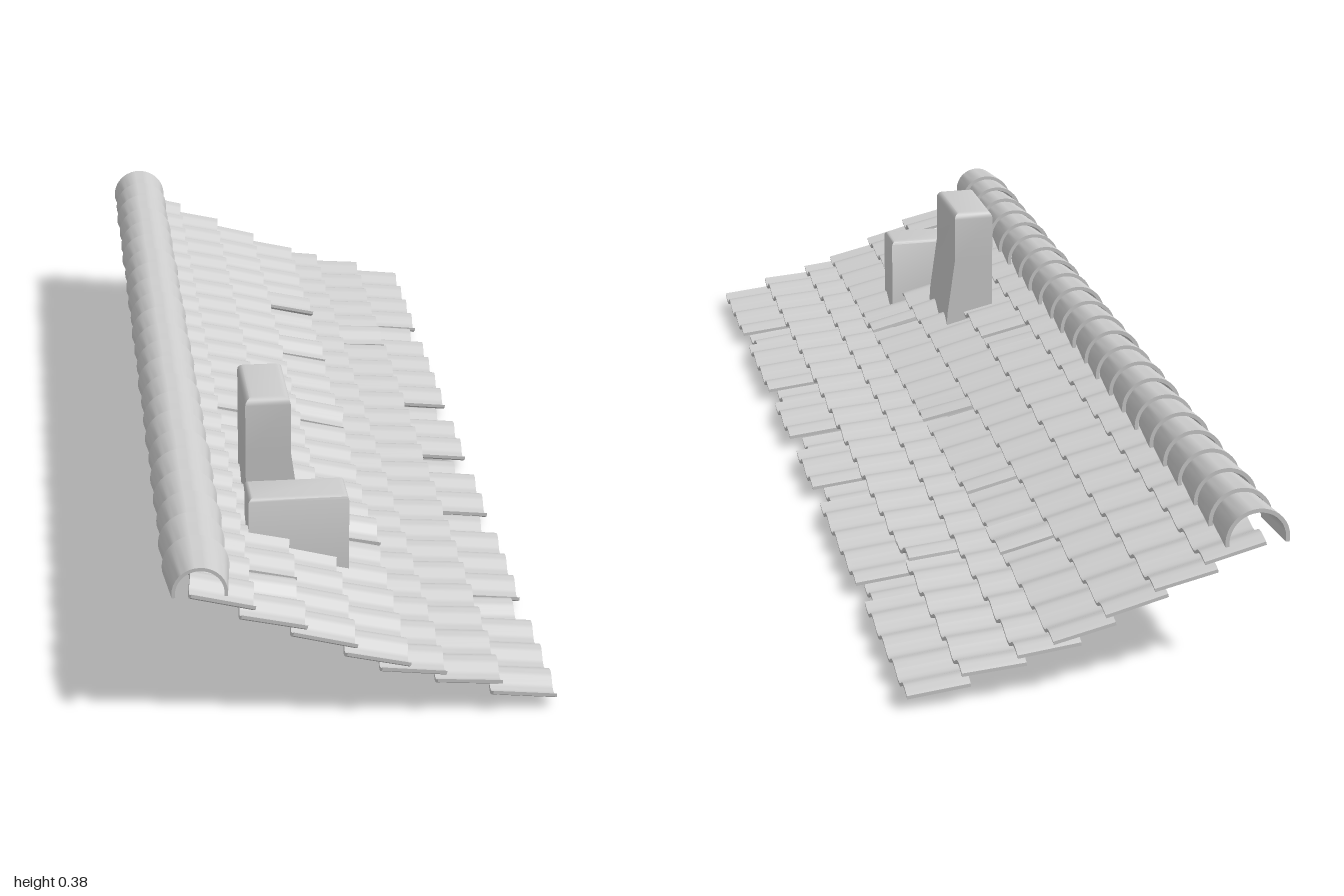
import * as THREE from 'three';
import { toCreasedNormals } from 'three/addons/utils/BufferGeometryUtils.js';

const material = new THREE.MeshStandardMaterial({ color: 0xcccccc });
const COLUMNS = 23;
const PITCH = 2 / COLUMNS;

function addMesh(parent, name, geometry) {
  const mesh = new THREE.Mesh(geometry, material);
  mesh.name = name;
  parent.add(mesh);
  return mesh;
}

// S-shaped pan tile: a wave across z, running down the slope along +x
function tileGeometry(length) {
  const n = 14, half = 0.003, width = PITCH + 0.004;
  const upper = [], lower = [];
  for (let i = 0; i <= n; i++) {
    const s = (i / n - 0.5) * width;
    const y = 0.009 * Math.sin((2 * Math.PI * s) / PITCH);
    lower.push(new THREE.Vector2(s, y - half));
    upper.unshift(new THREE.Vector2(s, y + half));
  }
  const geo = new THREE.ExtrudeGeometry(new THREE.Shape([...lower, ...upper]), {
    depth: length, bevelEnabled: false,
  });
  geo.rotateY(Math.PI / 2);
  return toCreasedNormals(geo, 0.7);
}

// Half-round ridge cap, wide at its back end and narrower at its front end
function ridgeGeometry(length) {
  const a = -0.15, b = Math.PI + 0.15;
  const shape = new THREE.Shape();
  shape.absarc(0, 0, 0.055, a, b, false);
  shape.absarc(0, 0, 0.048, b, a, true);
  const geo = new THREE.ExtrudeGeometry(shape, { depth: length, bevelEnabled: false, curveSegments: 10 });
  const p = geo.attributes.position;
  for (let i = 0; i < p.count; i++) {
    const k = 1 - (0.18 * p.getZ(i)) / length;
    p.setXY(i, p.getX(i) * k, p.getY(i) * k);
  }
  return toCreasedNormals(geo, 0.5);
}

// Stack of rectangles [y, x0, x1, z0, z1] with a rounded top edge
function chimneyGeometry(sections, radius) {
  const rings = sections.slice(0, -1);
  const [top, x0, x1, z0, z1] = sections[sections.length - 1];
  for (let i = 0; i <= 4; i++) {
    const t = (i / 4) * Math.PI / 2;
    const d = radius * (1 - Math.cos(t));
    rings.push([top - radius + radius * Math.sin(t), x0 + d, x1 - d, z0 + d, z1 - d]);
  }
  const pos = [], idx = [];
  for (const [y, a, b, c, d] of rings) pos.push(a, y, d, b, y, d, b, y, c, a, y, c);
  for (let r = 0; r < rings.length - 1; r++) {
    for (let j = 0; j < 4; j++) {
      const p = r * 4 + j, q = r * 4 + ((j + 1) % 4);
      idx.push(p, q, q + 4, p, q + 4, p + 4);
    }
  }
  const e = (rings.length - 1) * 4;
  idx.push(e, e + 1, e + 2, e, e + 2, e + 3, 0, 2, 1, 0, 3, 2);
  const geo = new THREE.BufferGeometry();
  geo.setAttribute('position', new THREE.Float32BufferAttribute(pos, 3));
  geo.setIndex(idx);
  return toCreasedNormals(geo.toNonIndexed(), 0.6);
}

export function createModel() {
  const model = new THREE.Group();
  model.name = 'tiledRoof';

  // Courses of tiles: upper end x, y and lower end x, y
  const courses = [
    [-0.28, 0.233, -0.177, 0.207],
    [-0.2, 0.192, -0.094, 0.168],
    [-0.117, 0.157, -0.013, 0.13],
    [-0.03, 0.116, 0.074, 0.092],
    [0.027, 0.086, 0.133, 0.074],
    [0.118, 0.06, 0.225, 0.052],
    [0.21, 0.033, 0.315, 0.022],
  ];
  // Loose tiles, keyed by course and column: shift x, shift y, roll, twist
  const loose = {
    '1,21': [-0.005, -0.007, 0.08, 0.04],
    '1,13': [-0.004, -0.006, 0.06, -0.04],
    '3,17': [0.006, 0.008, 0.08, 0.04],
    '3,11': [0.005, 0.008, 0.08, -0.05],
    '3,4': [0.006, 0.007, -0.06, 0.03],
    '3,7': [0.004, 0.006, 0.05, 0.03],
    '5,5': [-0.002, 0.006, 0.08, 0.04],
    '6,4': [-0.015, -0.004, 0.04, 0],
    '6,9': [-0.022, -0.008, 0, 0],
    '6,12': [-0.026, -0.01, 0, 0],
    '6,15': [-0.018, -0.006, 0, 0],
    '6,19': [-0.016, -0.005, 0.05, 0.06],
  };
  courses.forEach(([x0, y0, x1, y1], row) => {
    const course = new THREE.Group();
    course.name = 'tileCourse' + (row + 1);
    const geo = tileGeometry(Math.hypot(x1 - x0, y1 - y0));
    for (let c = 0; c < COLUMNS; c++) {
      const [dx, dy, roll, twist] = loose[row + ',' + c] || [0, 0, 0, 0];
      const tile = addMesh(course, 'roofTile', geo);
      tile.position.set(x0 + dx, y0 + dy, -1 + (c + 0.5) * PITCH);
      tile.rotation.set(roll, twist, Math.atan2(y1 - y0, x1 - x0), 'ZYX');
    }
    model.add(course);
  });

  // Ridge caps along the top edge, each overlapping the next
  const ridge = new THREE.Group();
  ridge.name = 'ridge';
  const capLength = 0.1;
  const capGeo = ridgeGeometry(capLength);
  for (let i = 0; i < COLUMNS; i++) {
    const cap = addMesh(ridge, 'ridgeCap', capGeo);
    const wobble = Math.sin(i * 2.3);
    cap.position.set(-0.266 + 0.001 * wobble, 0.238, -1 + (i * (2 - capLength)) / (COLUMNS - 1));
    cap.rotation.x = 0.015 * wobble;
  }
  model.add(ridge);

  // Tall chimney with a flared foot, and a low wide one beside it
  addMesh(model, 'tallChimney', chimneyGeometry([
    [0.09, -0.155, -0.058, 0.38, 0.55],
    [0.16, -0.155, -0.06, 0.38, 0.55],
    [0.275, -0.155, -0.076, 0.38, 0.55],
    [0.378, -0.155, -0.076, 0.38, 0.55],
  ], 0.013));
  addMesh(model, 'lowChimney', chimneyGeometry([
    [0.056, -0.162, 0.01, 0.605, 0.688],
    [0.252, -0.162, 0.01, 0.605, 0.688],
  ], 0.01));

  return model;
}
